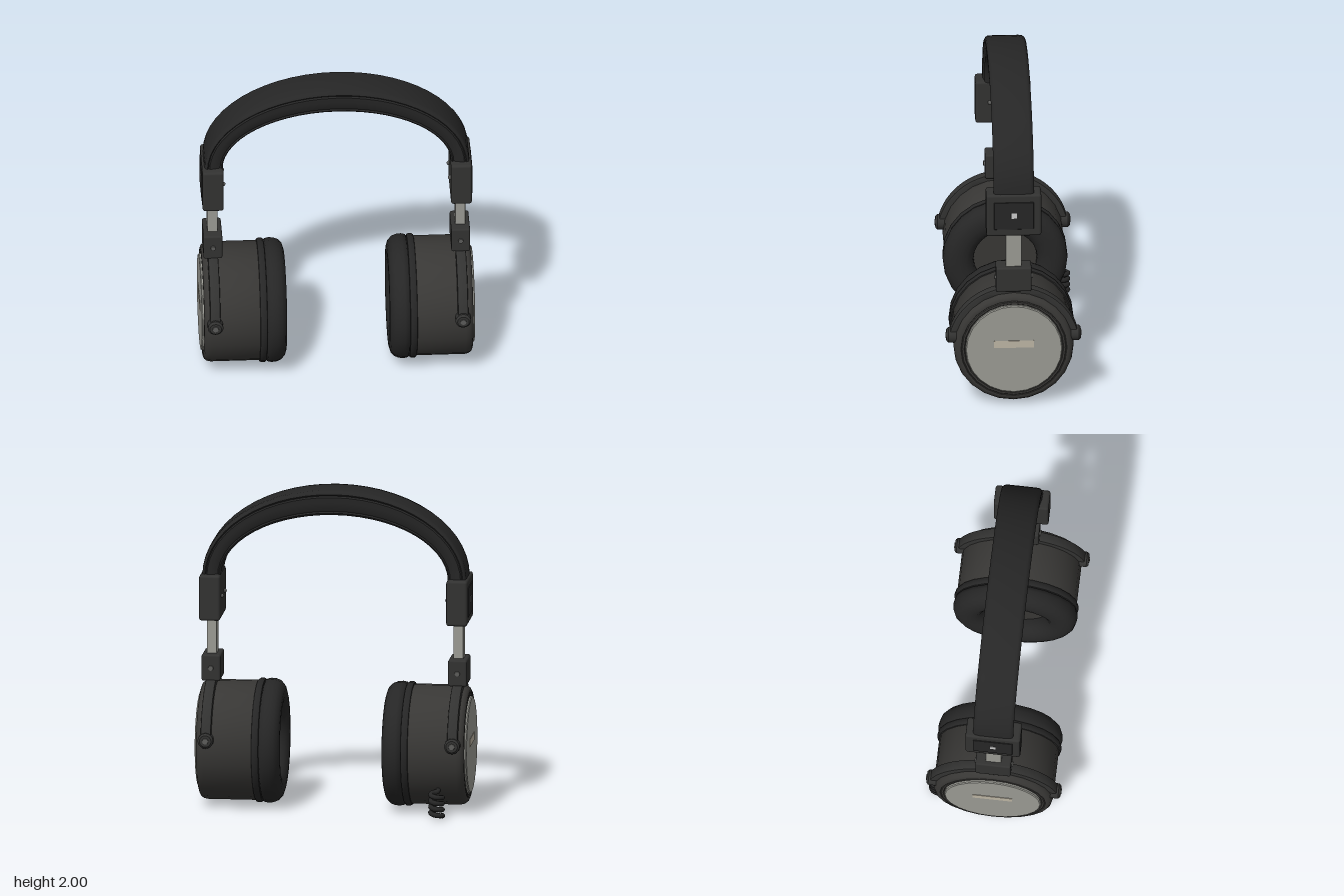
import * as THREE from 'three';
import { toCreasedNormals } from 'three/addons/utils/BufferGeometryUtils.js';
import { RoundedBoxGeometry } from 'three/addons/geometries/RoundedBoxGeometry.js';

const mat = (color) => new THREE.MeshStandardMaterial({ color });
const leather = mat(0x262626), shell = mat(0x383735), plastic = mat(0x323231);
const metal = mat(0x9a9a93), rivetGrey = mat(0x5c5c5a), beige = mat(0xbdb5a4), light = mat(0xd8d8d4);

const CUP_Y = 0.395, ARM_X = 0.765, SIDES = 24;

function add(parent, name, geometry, material, x = 0, y = 0, z = 0) {
  const mesh = new THREE.Mesh(geometry, material);
  mesh.name = name;
  mesh.position.set(x, y, z);
  parent.add(mesh);
  return mesh;
}

const box = (w, h, d, r = 0.012) => new RoundedBoxGeometry(w, h, d, 2, r);

// Turned part around the x axis; points are [radius, x], running from inside to outside
function turned(points, crease = 0.7) {
  const profile = points.map(([r, x]) => new THREE.Vector2(r, x));
  return toCreasedNormals(new THREE.LatheGeometry(profile, SIDES).rotateZ(-Math.PI / 2), crease);
}

// Band swept over an arch whose inner and outer edges are two ellipses;
// section points are [u, z], u = 0 on the inner edge and 1 on the outer edge
function bandGeometry() {
  const half = [[0, 0.092], [0.03, 0.106], [0.1, 0.115], [0.16, 0.108], [0.22, 0.114], [0.5, 0.122],
    [0.72, 0.124], [0.78, 0.117], [0.84, 0.125], [0.93, 0.118], [0.985, 0.105], [0.985, 0.095], [1, 0.085]];
  const section = [...half, ...half.map(([u, z]) => [u, -z]).reverse()];
  const steps = 28, n = section.length, pos = [], index = [];
  for (let i = 0; i <= steps; i++) {
    const a = (Math.PI * i) / steps;
    for (const [u, z] of section) {
      const rx = THREE.MathUtils.lerp(0.705, 0.82, u), ry = THREE.MathUtils.lerp(0.4, 0.56, u);
      pos.push(rx * Math.cos(a), 1.44 + ry * Math.sin(a), z);
    }
  }
  for (let i = 0; i < steps; i++) {
    for (let j = 0; j < n; j++) {
      const a = i * n + j, b = i * n + ((j + 1) % n);
      index.push(a, b, a + n, b, b + n, a + n);
    }
  }
  const g = new THREE.BufferGeometry();
  g.setAttribute('position', new THREE.Float32BufferAttribute(pos, 3));
  g.setIndex(index);
  return toCreasedNormals(g, 0.6);
}

// Half hoop that carries the cup between its two pivots
function hoopGeometry() {
  const s = new THREE.Shape(), a = 0.17;
  s.absarc(0, 0, 0.398, a, Math.PI - a, false);
  s.absarc(0, 0, 0.355, Math.PI - a, a, true);
  s.closePath();
  const g = new THREE.ExtrudeGeometry(s, {
    depth: 0.048, bevelEnabled: true, bevelSize: 0.008, bevelThickness: 0.008, bevelSegments: 2, curveSegments: 24,
  });
  return toCreasedNormals(g.translate(0, 0, -0.024).rotateY(Math.PI / 2), 0.6);
}

// One complete side, built at +x
function createSide() {
  const side = new THREE.Group();

  // Headband holder with a framed panel and a small square stud
  add(side, 'bandHolder', box(0.13, 0.285, 0.34, 0.016), plastic, 0.767, 1.3125);
  add(side, 'holderPanel', box(0.012, 0.185, 0.245, 0.004), leather, 0.831, 1.3125);
  add(side, 'holderStud', new THREE.BoxGeometry(0.008, 0.036, 0.034), light, 0.836, 1.315);
  for (const z of [-0.08, 0.08]) {
    add(side, 'holderRivet', new THREE.SphereGeometry(0.014, 12, 8), rivetGrey, 0.701, 1.315, z);
  }

  // Sliding metal bar and the block below it
  add(side, 'sliderBar', box(0.062, 0.32, 0.098, 0.006), metal, ARM_X, 1.05);
  add(side, 'sliderBlock', box(0.116, 0.165, 0.22), plastic, ARM_X, 0.8625);

  // Hoop, pivots and screws
  add(side, 'hoop', hoopGeometry(), plastic, ARM_X, CUP_Y);
  for (const s of [-1, 1]) {
    const disc = (name, r0, r1, h, material, y, z) => {
      add(side, name, new THREE.CylinderGeometry(r1, r0, h, 18), material, ARM_X, y, s * z).rotation.x = s * Math.PI / 2;
    };
    disc('blockScrew', 0.017, 0.015, 0.016, rivetGrey, 0.862, 0.111);
    disc('pivot', 0.048, 0.048, 0.05, plastic, 0.462, 0.378);
    disc('pivotCap', 0.048, 0.036, 0.012, plastic, 0.462, 0.409);
    disc('pivotScrew', 0.02, 0.018, 0.008, rivetGrey, 0.462, 0.416);
  }

  // Ear cup: padded cushion, seam ring, shell and metal cover
  add(side, 'cushion', turned([[0.205, 0.44], [0.195, 0.40], [0.2, 0.368], [0.218, 0.341], [0.245, 0.324], [0.28, 0.317],
    [0.315, 0.318], [0.348, 0.328], [0.372, 0.35], [0.383, 0.378], [0.386, 0.41], [0.38, 0.435], [0.365, 0.442]], 1.2),
  leather, 0, CUP_Y);
  add(side, 'speakerCover', turned([[0, 0.425], [0.21, 0.425]]), shell, 0, CUP_Y);
  add(side, 'seamRing', turned([[0.36, 0.44], [0.378, 0.443], [0.385, 0.452], [0.385, 0.474], [0.378, 0.484], [0.365, 0.487]]),
    leather, 0, CUP_Y);
  add(side, 'cupShell', turned([[0.365, 0.47], [0.371, 0.48], [0.371, 0.785], [0.366, 0.808], [0.354, 0.824], [0.338, 0.831],
    [0.328, 0.831], [0.325, 0.826], [0.32, 0.831], [0.308, 0.831], [0.303, 0.824], [0, 0.824]]), shell, 0, CUP_Y);
  add(side, 'coverPlate', turned([[0.3, 0.82], [0.3, 0.838], [0.294, 0.844], [0, 0.844]], 0.4), metal, 0, CUP_Y);
  add(side, 'coverBar', new THREE.BoxGeometry(0.006, 0.048, 0.245), beige, 0.844, 0.43);
  return side;
}

// Coiled cord hanging behind one cup
function cordGeometry() {
  const pts = [new THREE.Vector3(-0.665, 0.17, -0.27)];
  const turns = 3.75, steps = 60;
  for (let i = 0; i <= steps; i++) {
    const t = i / steps, a = t * turns * Math.PI * 2;
    pts.push(new THREE.Vector3(-0.665 + 0.036 * Math.sin(a), 0.16 - 0.142 * t, -0.358 + 0.04 * Math.cos(a)));
  }
  return new THREE.TubeGeometry(new THREE.CatmullRomCurve3(pts), 150, 0.016, 8);
}

export function createModel() {
  const model = new THREE.Group();
  model.name = 'headphones';
  add(model, 'headband', bandGeometry(), leather);
  const left = createSide();
  left.name = 'leftSide';
  const right = createSide();
  right.name = 'rightSide';
  right.rotation.y = Math.PI;
  model.add(left, right);

  const cord = add(model, 'coiledCord', cordGeometry(), leather);
  const end = cord.geometry.parameters.path.getPoint(1);
  add(model, 'cordEnd', new THREE.SphereGeometry(0.017, 10, 8), leather, end.x, end.y, end.z);
  return model;
}
